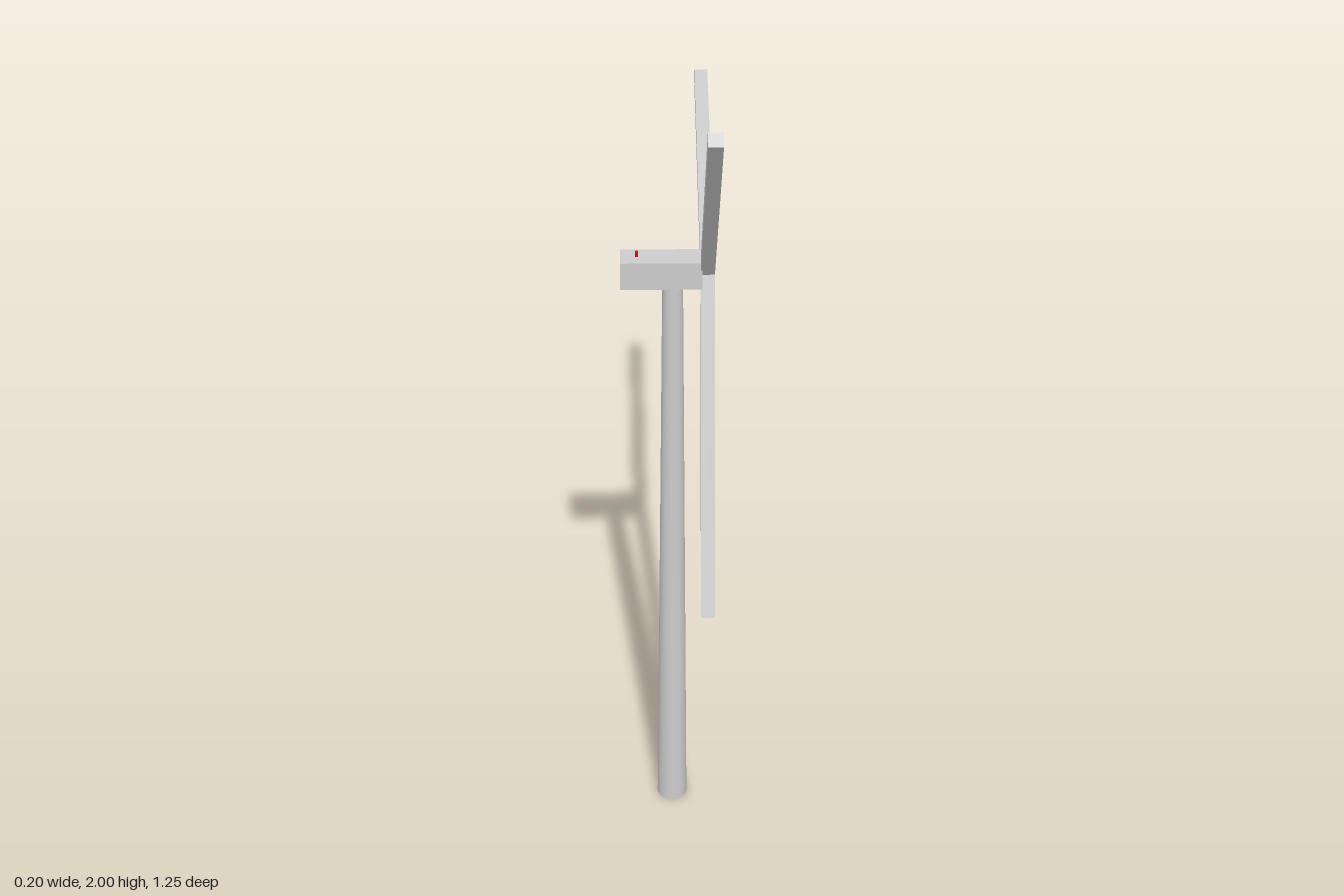
import * as THREE from 'three';

const AXIS_Z = 0.12;  // depth of the tower and nacelle centre line
const HUB = new THREE.Vector3(0.082, 1.42, 0.115);

export function createModel() {
  const group = new THREE.Group();
  const grey = new THREE.MeshStandardMaterial({ color: 0xcccccc });
  const red = new THREE.MeshStandardMaterial({ color: 0xcc1111 });

  const add = (name, geometry, x, y, z, material = grey) => {
    const mesh = new THREE.Mesh(geometry, material);
    mesh.name = name;
    mesh.position.set(x, y, z);
    group.add(mesh);
    return mesh;
  };

  // Tapered tower
  add('tower', new THREE.CylinderGeometry(0.022, 0.034, 1.4, 32), 0.008, 0.7, AXIS_Z);

  // Nacelle with a small warning light on its roof
  add('nacelle', new THREE.BoxGeometry(0.173, 0.064, 0.06), -0.0165, 1.423, AXIS_Z);
  add('warningLight', new THREE.CylinderGeometry(0.003, 0.003, 0.014, 10), -0.068, 1.461, AXIS_Z, red);

  // Pointed hub on the rotor axis
  const hub = add('hub', new THREE.ConeGeometry(0.009, 0.032, 16), HUB.x, HUB.y, HUB.z);
  hub.rotation.z = -Math.PI / 2;

  // Three square blades, each running from the hub to its tip [y, z]
  const tips = [[1.99, 0.616], [1.508, -0.625], [0.703, 0.376]];
  tips.forEach(([y, z], i) => {
    const dy = y - HUB.y, dz = z - HUB.z;
    const blade = add('blade' + (i + 1),
      new THREE.BoxGeometry(0.03, Math.hypot(dy, dz), 0.03),
      HUB.x, HUB.y + dy / 2, HUB.z + dz / 2);
    blade.rotation.x = Math.atan2(dz, dy);
  });

  return group;
}
